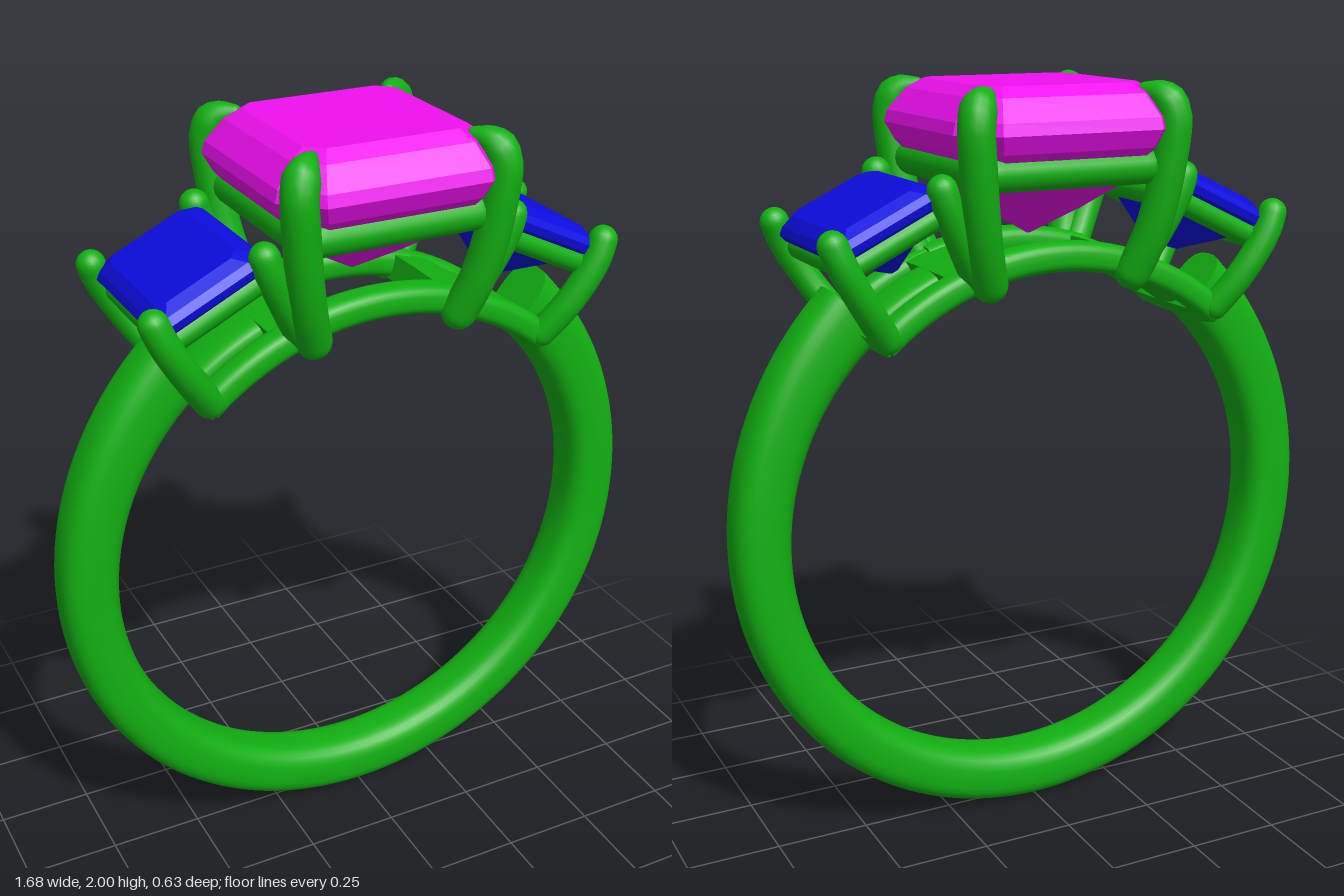
import * as THREE from 'three';

const V = (x, y, z) => new THREE.Vector3(x, y, z);
const rad = THREE.MathUtils.degToRad;
const CY = 0.843; // height of the band's centre
const metal = new THREE.MeshStandardMaterial({ color: 0x12b012 });
const pink = new THREE.MeshStandardMaterial({ color: 0xf010f0 });
const blue = new THREE.MeshStandardMaterial({ color: 0x0c0ce0 });

// Skin a list of closed rings and cap both ends; faces always turn outward
function loft(rings, flat = false) {
  const n = rings[0].length, pos = [], idx = [];
  rings.forEach(r => r.forEach(p => pos.push(p.x, p.y, p.z)));
  for (let i = 0; i < rings.length - 1; i++) for (let j = 0; j < n; j++) {
    const a = i * n + j, b = i * n + (j + 1) % n;
    idx.push(a, b, a + n, b, b + n, a + n);
  }
  [rings[0], rings[rings.length - 1]].forEach((r, e) => {
    const base = pos.length / 3, c = V(0, 0, 0);
    r.forEach(p => { pos.push(p.x, p.y, p.z); c.addScaledVector(p, 1 / n); });
    pos.push(c.x, c.y, c.z);
    for (let j = 0; j < n; j++) {
      const a = base + j, b = base + (j + 1) % n;
      e ? idx.push(a, b, base + n) : idx.push(b, a, base + n);
    }
  });
  let vol = 0;
  const at = k => V(pos[k * 3], pos[k * 3 + 1], pos[k * 3 + 2]);
  for (let i = 0; i < idx.length; i += 3) vol += at(idx[i]).dot(at(idx[i + 1]).cross(at(idx[i + 2])));
  if (vol < 0) idx.reverse();
  let g = new THREE.BufferGeometry();
  g.setAttribute('position', new THREE.Float32BufferAttribute(pos, 3));
  g.setIndex(idx);
  if (flat) g = g.toNonIndexed();
  g.computeVertexNormals();
  return g;
}

// Band segment around the finger hole; angles are measured from the top
function arc(a0, a1, steps, rIn, rOut, zc, hz, power = 2.8) {
  const rings = [];
  for (let i = 0; i <= steps; i++) {
    const deg = a0 + (a1 - a0) * i / steps, a = rad(deg), ro = rOut(deg), ring = [];
    for (let j = 0; j < 28; j++) {
      const t = j / 28 * Math.PI * 2, c = Math.cos(t), s = Math.sin(t);
      const r = (rIn + ro) / 2 + (ro - rIn) / 2 * Math.sign(c) * Math.abs(c) ** (2 / power);
      const z = zc + hz * Math.sign(s) * Math.abs(s) ** (2 / power);
      ring.push(V(Math.sin(a) * r, CY + Math.cos(a) * r, z));
    }
    rings.push(ring);
  }
  return loft(rings);
}

// Round rod along a curve with domed ends; the tip can taper to a claw
function rod(points, r, taper = 0) {
  const curve = new THREE.CatmullRomCurve3(points), len = curve.getLength(), n = 36;
  const f = curve.computeFrenetFrames(n), rings = [];
  for (let i = 0; i <= n; i++) {
    // bunch the sections toward both ends so the domes stay round
    const u = 0.5 - 0.5 * Math.cos(Math.PI * i / n), p = curve.getPointAt(u);
    const k = Math.round(u * n), d = Math.min(u, 1 - u) * len;
    let rr = d < r ? Math.sqrt(Math.max(0.0004, 1 - (1 - d / r) ** 2)) : 1;
    if (taper && u > 1 - taper) rr = Math.min(rr, 0.3 + 0.7 * (1 - u) / taper);
    const ring = [];
    for (let j = 0; j < 16; j++) {
      const t = j / 16 * Math.PI * 2;
      ring.push(p.clone().addScaledVector(f.normals[k], Math.cos(t) * r * rr)
        .addScaledVector(f.binormals[k], Math.sin(t) * r * rr));
    }
    rings.push(ring);
  }
  return loft(rings);
}

// Step-cut stone: each level is [y, half x, half z, corner cut]
const gem = levels => loft(levels.map(([y, x, z, c]) => [
  V(x, y, z - c), V(x - c, y, z), V(c - x, y, z), V(-x, y, z - c),
  V(-x, y, c - z), V(c - x, y, -z), V(x - c, y, -z), V(x, y, c - z)]), true);

function add(parent, name, geometry, material = metal) {
  const m = new THREE.Mesh(geometry, material);
  m.name = name;
  parent.add(m);
  return m;
}

// Rectangular rail under a stone
function frame(parent, name, hx, y, hz, r) {
  for (const s of [1, -1]) {
    add(parent, name, rod([V(-hx - r / 2, y, s * hz), V(hx + r / 2, y, s * hz)], r));
    add(parent, name, rod([V(s * hx, y, -hz - r / 2), V(s * hx, y, hz + r / 2)], r));
  }
}

function sideHead() {
  const g = new THREE.Group();
  g.name = 'sideHead';
  // Tilted stone with its rail
  const seat = new THREE.Group();
  seat.name = 'sideSetting';
  seat.position.set(0.485, 1.722, 0);
  seat.rotation.z = -0.45;
  g.add(seat);
  add(seat, 'sideStone', gem([
    [0, 0.115, 0.175, 0.025], [-0.018, 0.145, 0.205, 0.03], [-0.035, 0.16, 0.22, 0.035],
    [-0.055, 0.155, 0.215, 0.035], [-0.12, 0.09, 0.15, 0.02], [-0.19, 0.012, 0.07, 0.004]]), blue);
  frame(seat, 'sideRail', 0.13, -0.085, 0.185, 0.032);
  // Prongs, and base rails following the finger hole
  for (const s of [1, -1]) {
    add(g, 'outerProng', rod([V(0.45, 1.375, s * 0.16), V(0.53, 1.49, s * 0.205),
      V(0.595, 1.6, s * 0.22), V(0.628, 1.685, s * 0.21)], 0.038));
    add(g, 'innerProng', rod([V(0.21, 1.5, s * 0.16), V(0.28, 1.63, s * 0.2),
      V(0.325, 1.73, s * 0.215), V(0.345, 1.8, s * 0.21)], 0.038));
    add(g, 'baseRail', arc(15, 41, 12, 0.687, () => 0.76, s * 0.155, 0.04));
  }
  add(g, 'outerBaseBar', arc(36.5, 42, 4, 0.687, () => 0.755, 0, 0.19, 4));
  add(g, 'innerBasePlate', arc(14, 23, 6, 0.687, () => 0.755, 0, 0.19, 4));
  add(g, 'bandLink', arc(20, 42, 10, 0.687, () => 0.755, 0, 0.075));
  return g;
}

export function createModel() {
  const ring = new THREE.Group();
  ring.name = 'ring';

  // Shank, flaring slightly towards the setting
  add(ring, 'shank', arc(40, 320, 120, 0.687, deg => {
    const t = Math.max(0, (Math.abs(deg - 180) - 80) / 60);
    return 0.838 + 0.036 * t * t;
  }, 0, 0.08));

  // Side settings, one turned half round
  for (const turn of [0, Math.PI]) {
    const h = sideHead();
    h.rotation.y = turn;
    ring.add(h);
  }

  // Centre setting
  const head = new THREE.Group();
  head.name = 'centreHead';
  ring.add(head);
  add(head, 'centreStone', gem([
    [2, 0.215, 0.215, 0.04], [1.975, 0.255, 0.255, 0.06], [1.92, 0.3, 0.3, 0.085],
    [1.89, 0.308, 0.308, 0.09], [1.845, 0.285, 0.285, 0.08], [1.75, 0.205, 0.205, 0.05],
    [1.68, 0.11, 0.11, 0.025], [1.61, 0.003, 0.003, 0.001]]), pink);
  frame(head, 'centreRail', 0.235, 1.795, 0.235, 0.045);
  for (const sx of [1, -1]) for (const sz of [1, -1]) {
    add(head, 'centreProng', rod([V(sx * 0.19, 1.48, sz * 0.18), V(sx * 0.235, 1.63, sz * 0.232),
      V(sx * 0.262, 1.8, sz * 0.262), V(sx * 0.268, 1.93, sz * 0.268),
      V(sx * 0.25, 1.965, sz * 0.25), V(sx * 0.205, 1.985, sz * 0.205)], 0.046, 0.14));
  }
  for (const s of [1, -1]) {
    add(head, 'centreArch', arc(-18, 18, 16, 0.687, () => 0.765, s * 0.145, 0.045));
  }
  return ring;
}
